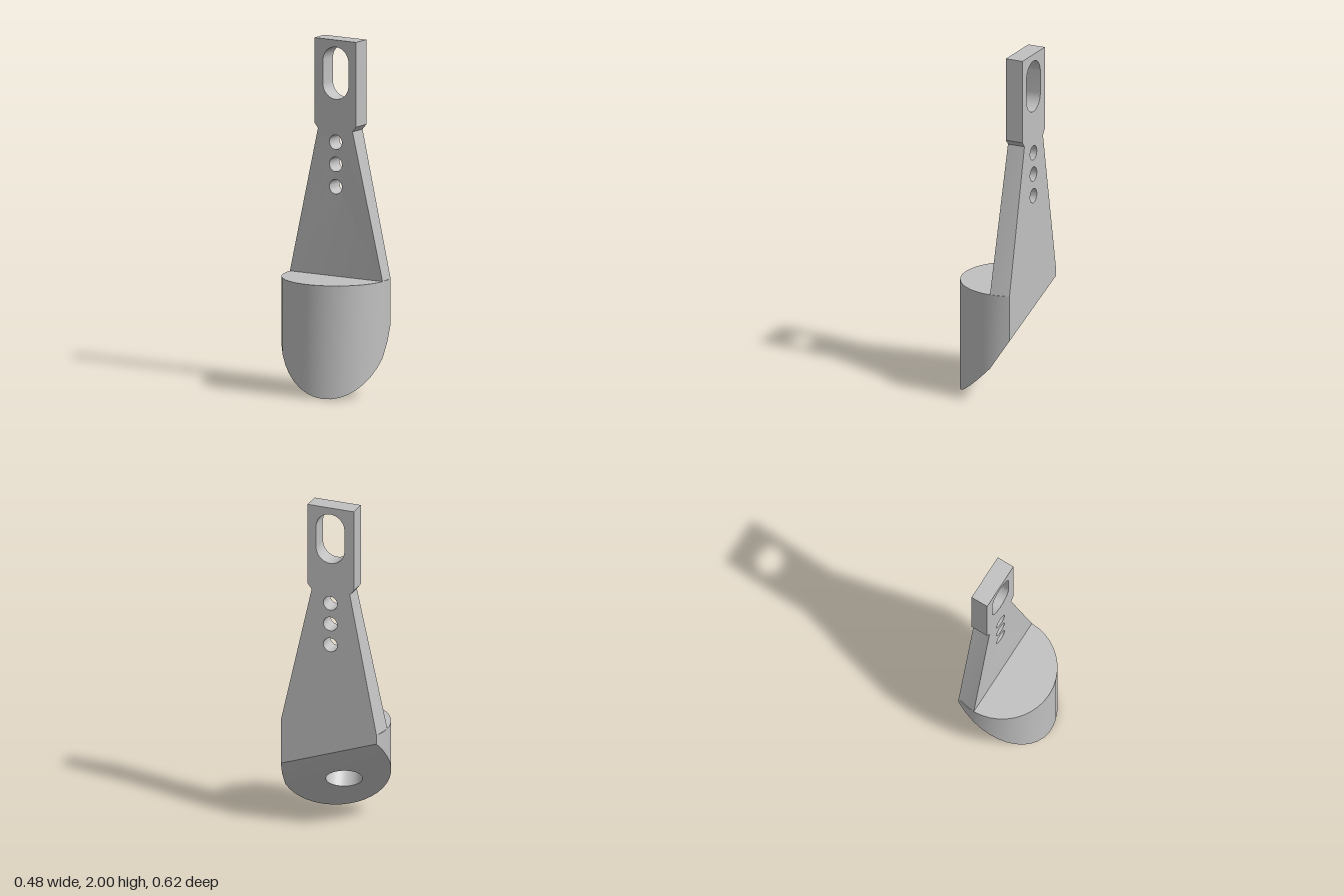
import * as THREE from 'three';
import { toCreasedNormals } from 'three/addons/utils/BufferGeometryUtils.js';

// Local frame: x points out of the flat face, z runs along the plate's width.
const CX = 0.0685, CZ = 0.0147, R = 0.311;   // round base
const OUTER = 0.178, FOLD = 0.065, DECK = 0.65;

// Height of the slanted underside; it bends slightly at the fold line
const underside = (x, z) =>
  0.284 + 1.033 * x - 0.43 * z + Math.max(0, (x - FOLD) / 0.113) * (0.029 + 0.065 * z);

// Cut cylinder with an oblique underside and a blind hole
function baseGeometry() {
  const out = [];
  const face = (a, b, c, dir) => {
    const n = b.clone().sub(a).cross(c.clone().sub(a));
    for (const p of n.dot(dir) < 0 ? [a, c, b] : [a, b, c]) out.push(p.x, p.y, p.z);
  };
  const quad = (a, b, c, d, dir) => { face(a, b, c, dir); face(a, c, d, dir); };
  const cap = (contour, holes, dir) => {
    const flat = (l) => l.map((p) => new THREE.Vector2(p.x, p.z));
    const all = contour.concat(...holes);
    for (const [a, b, c] of THREE.ShapeUtils.triangulateShape(flat(contour), holes.map(flat)))
      face(all[a], all[b], all[c], dir);
  };
  const up = new THREE.Vector3(0, 1, 0), down = new THREE.Vector3(0, -1, 0);

  // Outline: short arc, long arc, short arc, closed by the flat face
  const t0 = Math.acos((OUTER - CX) / R), t1 = Math.acos((FOLD - CX) / R);
  const SHORT = 2, LONG = 20, angles = [];
  for (let i = 0; i < SHORT; i++) angles.push(t0 + (t1 - t0) * i / SHORT);
  for (let i = 0; i <= LONG; i++) angles.push(t1 + (2 * Math.PI - 2 * t1) * i / LONG);
  for (let i = SHORT - 1; i >= 0; i--) angles.push(2 * Math.PI - (t0 + (t1 - t0) * i / SHORT));
  const top = angles.map((t) =>
    new THREE.Vector3(CX + R * Math.cos(t), DECK, CZ + R * Math.sin(t)));
  const low = top.map((p) => new THREE.Vector3(p.x, underside(p.x, p.z), p.z));

  // Side walls and deck
  top.forEach((a, i) => {
    const j = (i + 1) % top.length;
    const dir = a.clone().add(top[j]).multiplyScalar(0.5).sub(new THREE.Vector3(CX, DECK, CZ));
    quad(a, top[j], low[j], low[i], dir);
  });
  cap(top, [], up);

  // Blind hole, square to the underside
  const normal = new THREE.Vector3(1.033, -1, -0.43).normalize();
  const centre = new THREE.Vector3(-0.0206, underside(-0.0206, 0.001), 0.001);
  const e1 = new THREE.Vector3(0, 1, 0).cross(normal).normalize();
  const e2 = normal.clone().cross(e1);
  const rim = [];
  for (let i = 0; i < 28; i++) {
    const t = i / 28 * 2 * Math.PI;
    rim.push(centre.clone().addScaledVector(e1, 0.104 * Math.cos(t))
      .addScaledVector(e2, 0.104 * Math.sin(t)));
  }
  const floor = rim.map((p) => p.clone().addScaledVector(normal, -0.13));
  const floorCentre = centre.clone().addScaledVector(normal, -0.13);
  rim.forEach((p, i) => {
    const j = (i + 1) % rim.length;
    quad(p, rim[j], floor[j], floor[i], centre.clone().sub(p));
    face(floorCentre, floor[i], floor[j], normal);
  });

  // Underside on both sides of the fold
  const end = SHORT + LONG;
  cap(low.slice(SHORT, end + 1), [rim], down);
  cap([...low.slice(end), ...low.slice(0, SHORT + 1)], [], down);

  const geo = new THREE.BufferGeometry();
  geo.setAttribute('position', new THREE.Float32BufferAttribute(out, 3));
  return toCreasedNormals(geo, 0.5);
}

// Tapered upright with a slot and three round holes
function plateGeometry() {
  const half = Math.sqrt(R * R - (OUTER - CX) ** 2);
  const shape = new THREE.Shape([
    [CZ - half, DECK], [CZ + half, DECK], [0.118, 1.485], [0.143, 1.515],
    [0.143, 2], [-0.138, 2], [-0.138, 1.515], [-0.114, 1.485],
  ].map(([u, y]) => new THREE.Vector2(u, y)));
  const mid = 0.005;
  for (const y of [1.415, 1.288, 1.16])
    shape.holes.push(new THREE.Path().absarc(mid, y, 0.042, 0, 2 * Math.PI, true));
  const slot = new THREE.Path();
  slot.absarc(mid, 1.874, 0.086, Math.PI, 0, true);
  slot.absarc(mid, 1.746, 0.086, 0, -Math.PI, true);
  slot.closePath();
  shape.holes.push(slot);

  const geo = new THREE.ExtrudeGeometry(shape, { depth: 0.104, bevelEnabled: false, curveSegments: 14 });
  geo.rotateY(-Math.PI / 2).translate(OUTER, 0, 0);

  // Spread the inner foot corners out to the rim of the base
  const p = geo.attributes.position;
  for (let i = 0; i < p.count; i++) {
    if (p.getY(i) < DECK + 0.01 && p.getX(i) < 0.1) {
      p.setX(i, FOLD);
      p.setZ(i, CZ + Math.sign(p.getZ(i)) * R);
    }
  }
  return toCreasedNormals(geo, 0.5);
}

export function createModel() {
  const grey = new THREE.MeshStandardMaterial({ color: 0xc0c0c0 });
  grey.name = 'plain grey';
  const group = new THREE.Group();
  group.name = 'bracket';
  const base = new THREE.Mesh(baseGeometry(), grey);
  base.name = 'slantedBase';
  const plate = new THREE.Mesh(plateGeometry(), grey);
  plate.name = 'slottedUpright';
  group.add(base, plate);
  group.rotation.y = 0.2116;

  const model = new THREE.Group();
  model.add(group);
  return model;
}
